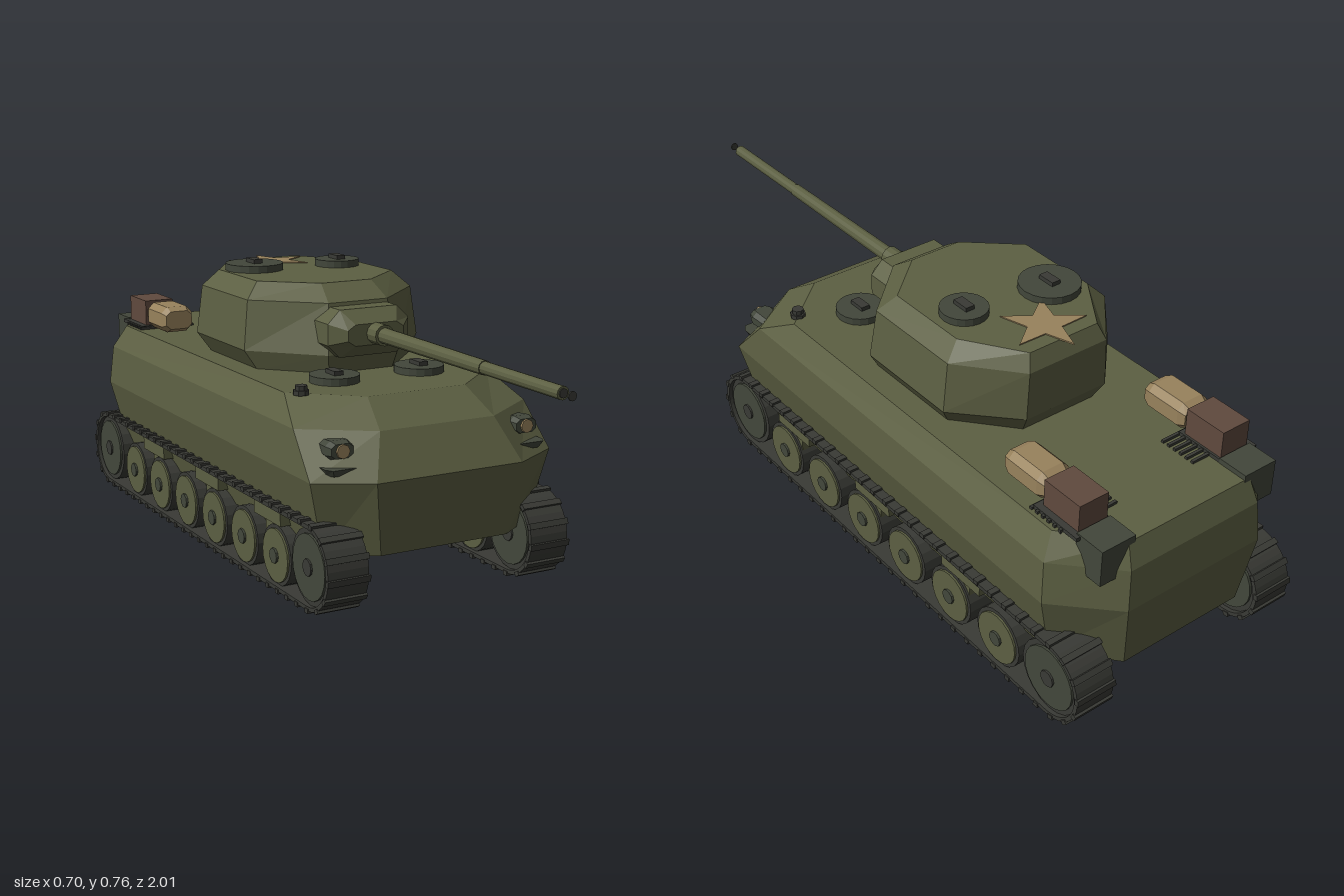
import * as THREE from 'three';

const mat = (name, color) => {
  const m = new THREE.MeshStandardMaterial({ color, flatShading: true });
  m.name = name;
  return m;
};

// Octagonal plan: front half-width / side / rear half-width, extruded through rings along y
const octagon = ({ y, hx, cf, zf, sf, sb, zb, cb }) => {
  const half = [[cf, zf], [hx, sf], [hx, sb], [cb, zb]];
  return [...half, ...half.slice().reverse().map(([x, z]) => [-x, z])]
    .map(([x, z]) => new THREE.Vector3(x, y, z));
};

function loft(specs) {
  const rings = specs.map(octagon), pos = [];
  const tri = (...ps) => ps.forEach(p => pos.push(p.x, p.y, p.z));
  for (let i = 0; i < rings.length - 1; i++) {
    for (let j = 0; j < 8; j++) {
      const k = (j + 1) % 8, [lo, hi] = [rings[i], rings[i + 1]];
      tri(lo[j], lo[k], hi[k]);
      tri(lo[j], hi[k], hi[j]);
    }
  }
  const bottom = rings[0], top = rings[rings.length - 1];
  for (let j = 1; j < 7; j++) {
    tri(top[0], top[j], top[j + 1]);
    tri(bottom[0], bottom[j + 1], bottom[j]);
  }
  const g = new THREE.BufferGeometry();
  g.setAttribute('position', new THREE.Float32BufferAttribute(pos, 3));
  g.computeVertexNormals();
  return g;
}

// Symmetric chamfered ring
const ring = (y, hx, hz, cx, cz) => ({ y, hx, cf: cx, zf: hz, sf: cz, sb: -cz, zb: -hz, cb: cx });

export function createModel() {
  const olive = mat('olive paint', 0x5c5f42);
  const dark = mat('dark green metal', 0x42473b);
  const rubber = mat('track steel', 0x393a35);
  const tan = mat('tan canvas', 0x98825c);
  const brown = mat('brown crate', 0x604a3e);

  const model = new THREE.Group();
  model.name = 'tank';
  const add = (name, geo, material, x = 0, y = 0, z = 0, parent = model) => {
    const m = new THREE.Mesh(geo, material);
    m.name = name;
    m.position.set(x, y, z);
    parent.add(m);
    return m;
  };
  const box = (w, h, d) => new THREE.BoxGeometry(w, h, d);
  const cylY = (r, h, n = 20, r2 = r) => new THREE.CylinderGeometry(r2, r, h, n);
  const cylX = (r, h, n = 20) => cylY(r, h, n).rotateZ(Math.PI / 2);
  const cylZ = (r, h, n = 12, r2 = r) => cylY(r, h, n, r2).rotateX(Math.PI / 2);

  // Hull
  add('hull', loft([
    { y: 0.14, hx: 0.30, cf: 0.183, zf: 0.50, sf: 0.42, sb: -0.84, zb: -0.975, cb: 0.183 },
    { y: 0.33, hx: 0.347, cf: 0.208, zf: 0.525, sf: 0.445, sb: -0.86, zb: -1.0, cb: 0.208 },
    { y: 0.44, hx: 0.337, cf: 0.164, zf: 0.46, sf: 0.34, sb: -0.85, zb: -0.99, cb: 0.2 },
    { y: 0.503, hx: 0.30, cf: 0.142, zf: 0.36, sf: 0.22, sb: -0.83, zb: -0.965, cb: 0.19 },
  ]), olive);

  // Turret
  add('turret', loft([
    { y: 0.50, hx: 0.232, cf: 0.095, zf: 0.075, sf: -0.07, sb: -0.36, zb: -0.50, cb: 0.11 },
    { y: 0.553, hx: 0.265, cf: 0.105, zf: 0.09, sf: -0.08, sb: -0.385, zb: -0.53, cb: 0.125 },
    { y: 0.685, hx: 0.249, cf: 0.088, zf: 0.06, sf: -0.09, sb: -0.38, zb: -0.53, cb: 0.12 },
    { y: 0.728, hx: 0.206, cf: 0.075, zf: -0.005, sf: -0.12, sb: -0.36, zb: -0.51, cb: 0.105 },
  ]), olive);

  // Star plate on the turret roof, one point towards the rear
  const star = new THREE.Shape();
  for (let i = 0; i < 10; i++) {
    const a = Math.PI / 2 + i * Math.PI / 5, r = i % 2 ? 0.044 : 0.11;
    star[i ? 'lineTo' : 'moveTo'](r * Math.cos(a), r * Math.sin(a));
  }
  star.closePath();
  const starGeo = new THREE.ExtrudeGeometry(star, { depth: 0.004, bevelEnabled: false }).rotateX(-Math.PI / 2);
  add('roofStar', starGeo, tan, 0, 0.727, -0.437);

  // Round hatches with handles
  const hatch = (name, x, y, z, r) => {
    const g = new THREE.Group();
    g.name = name;
    g.position.set(x, y, z);
    model.add(g);
    add('hatchLid', cylY(r, 0.022), dark, 0, 0.008, 0, g);
    add('hatchHandle', box(0.026, 0.012, 0.05), rubber, 0, 0.024, 0, g);
  };
  hatch('commanderHatch', -0.118, 0.728, -0.317, 0.08);
  hatch('loaderHatch', 0.122, 0.728, -0.28, 0.062);
  hatch('rightFrontHatch', -0.127, 0.503, 0.163, 0.066);
  hatch('leftFrontHatch', 0.125, 0.503, 0.163, 0.066);

  // Gun and mantlet
  add('mantlet', loft([
    ring(0.03, 0.12, 0.0625, 0.085, 0.028),
    ring(0.115, 0.12, 0.0625, 0.085, 0.028),
    ring(0.155, 0.082, 0.028, 0.06, 0.014),
  ]).rotateX(Math.PI / 2), olive, 0, 0.613, 0);
  add('gunCollar', cylZ(0.028, 0.07), olive, 0, 0.615, 0.165);
  add('barrelBase', cylZ(0.021, 0.48, 12, 0.018), olive, 0, 0.615, 0.42);
  add('barrelEnd', cylZ(0.016, 0.31), olive, 0, 0.615, 0.81);
  add('muzzleBore', cylZ(0.011, 0.004), rubber, 0, 0.615, 0.966);
  add('muzzleDisc', cylZ(0.011, 0.004), rubber, 0, 0.615, 0.998);

  // Track belt outline
  const zFront = 0.425, zRear = -0.89, yMid = 0.115;
  const loop = (path, r) => path
    .absarc(zFront, yMid, r, -Math.PI / 2, Math.PI / 2, false)
    .absarc(zRear, yMid, r, Math.PI / 2, Math.PI * 1.5, false)
    .closePath();
  const beltShape = loop(new THREE.Shape(), 0.109);
  beltShape.holes.push(loop(new THREE.Path(), 0.098));
  const beltGeo = new THREE.ExtrudeGeometry(beltShape, { depth: 0.112, bevelEnabled: false, curveSegments: 10 })
    .translate(0, 0, -0.056).rotateY(-Math.PI / 2);
  const cleatPath = loop(new THREE.Path(), 0.109);
  const cleats = 62, cleatGeo = box(0.117, 0.012, 0.016);

  for (const s of [1, -1]) {
    const side = s > 0 ? 'left' : 'right';
    const running = new THREE.Group();
    running.name = side + 'RunningGear';
    model.add(running);
    const put = (name, geo, m, x, y, z) => add(name, geo, m, s * x, y, z, running);

    put('trackBelt', beltGeo, rubber, 0.291, 0, 0);
    for (let i = 0; i < cleats; i++) {
      const p = cleatPath.getPointAt(i / cleats), t = cleatPath.getTangentAt(i / cleats);
      put('trackCleat', cleatGeo, rubber, 0.291, p.y, p.x).rotation.x = -Math.atan2(t.y, t.x);
    }
    // Drive sprocket and idler
    for (const z of [zFront, zRear]) {
      put('endWheel', cylX(0.098, 0.09), rubber, 0.291, yMid, z);
      put('endWheelDisc', cylX(0.084, 0.102), dark, 0.291, yMid, z);
      put('endWheelHub', cylX(0.022, 0.112, 10), rubber, 0.291, yMid, z);
    }
    // Road wheels
    for (let i = 0; i < 6; i++) {
      const z = 0.238 - i * 0.1866;
      put('roadTyre', cylX(0.08, 0.085), rubber, 0.291, 0.091, z);
      put('roadWheelDisc', cylX(0.07, 0.096), olive, 0.291, 0.091, z);
      put('roadWheelHub', cylX(0.02, 0.108, 10), dark, 0.291, 0.091, z);
    }
    // Suspension brackets between wheel pairs
    for (const z of [0.192, -0.177, -0.55]) {
      put('bracketCap', box(0.055, 0.04, 0.15), olive, 0.31, 0.193, z);
      put('bracketStem', box(0.045, 0.07, 0.05), olive, 0.305, 0.145, z);
    }

    // Headlight, its shelf and the periscope
    add(side + 'HeadlightHousing', loft([
      ring(-0.045, 0.028, 0.017, 0.016, 0.008),
      ring(0.02, 0.036, 0.023, 0.022, 0.011),
      ring(0.042, 0.03, 0.018, 0.018, 0.009),
    ]).rotateX(Math.PI / 2), dark, s * 0.265, 0.402, 0.415);
    add(side + 'HeadlightLens', cylZ(0.018, 0.008, 8), tan, s * 0.265, 0.402, 0.459);
    add(side + 'HeadlightShelf', loft([
      { y: -0.009, hx: 0.04, cf: 0.03, zf: 0.04, sf: 0.02, sb: -0.05, zb: -0.06, cb: 0.035 },
      { y: 0.009, hx: 0.05, cf: 0.038, zf: 0.05, sf: 0.03, sb: -0.05, zb: -0.06, cb: 0.045 },
    ]), dark, s * 0.265, 0.354, 0.43);
    add(side + 'PeriscopeBase', cylY(0.021, 0.012, 8), rubber, s * 0.268, 0.506, 0.25);
    add(side + 'PeriscopeHead', cylY(0.016, 0.02, 8), rubber, s * 0.268, 0.514, 0.25);

    // Rear deck: grille slats, stowage and corner boxes
    for (let i = 0; i < 6; i++) {
      add(side + 'GrilleSlat', box(0.17, 0.01, 0.008), rubber, s * 0.205, 0.505, -0.845 + i * 0.02);
    }
    add(side + 'StowageTray', box(0.11, 0.01, 0.15), rubber, s * 0.228, 0.508, -0.82);
    add(side + 'Crate', box(0.086, 0.075, 0.12), brown, s * 0.222, 0.548, -0.82);
    add(side + 'CanvasRoll', loft([
      ring(-0.07, 0.04, 0.026, 0.026, 0.014),
      ring(-0.05, 0.047, 0.037, 0.03, 0.02),
      ring(0.05, 0.047, 0.037, 0.03, 0.02),
      ring(0.07, 0.04, 0.026, 0.026, 0.014),
    ]).rotateX(Math.PI / 2), tan, s * 0.22, 0.547, -0.685);
    add(side + 'RearCornerBox', box(0.1, 0.1, 0.085), dark, s * 0.222, 0.467, -0.925);
  }
  return model;
}
